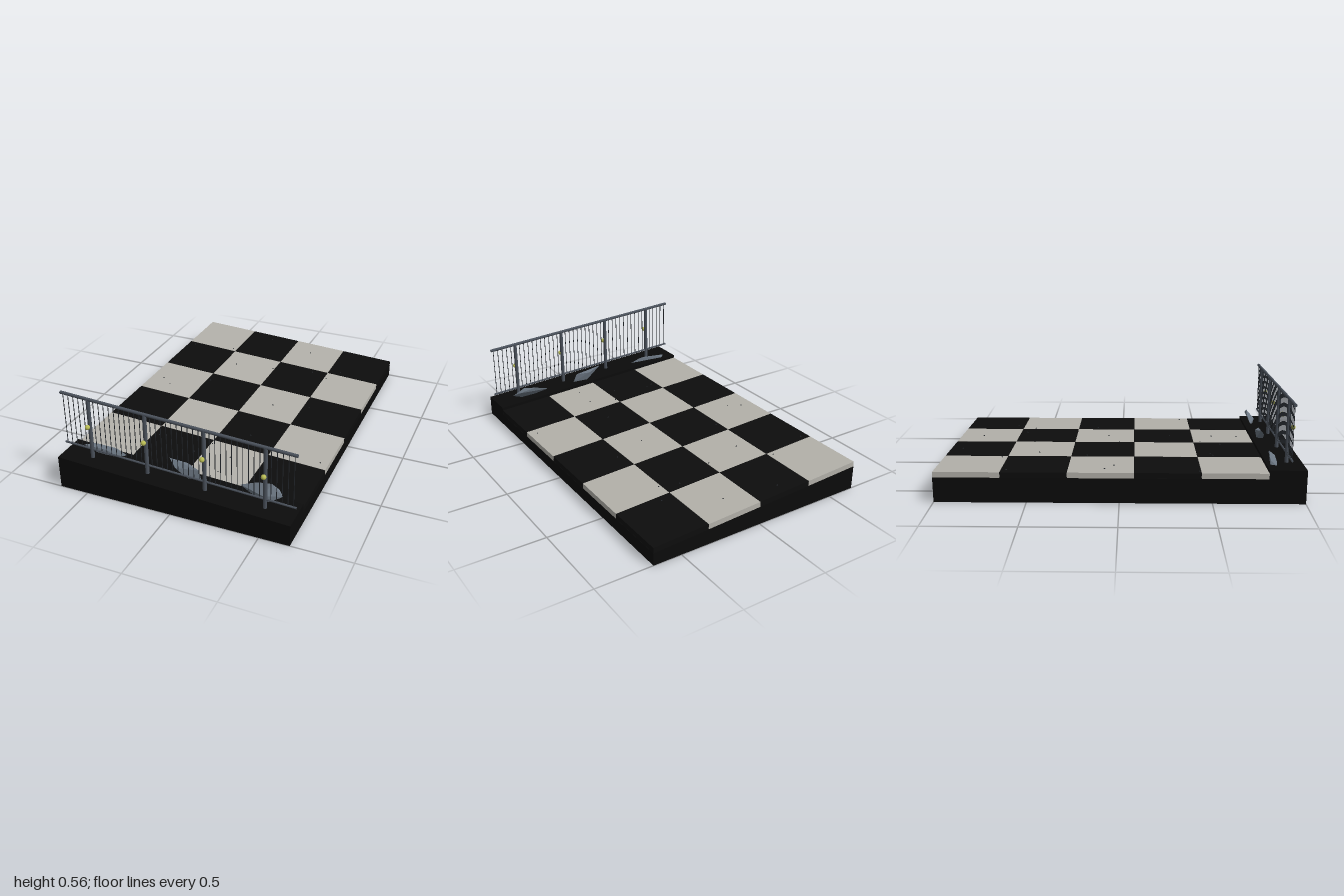
import * as THREE from 'three';
import { ConvexGeometry } from 'three/addons/geometries/ConvexGeometry.js';

const HALF_W = 0.667, SLOPE = 0.051, RAIL_Z = 0.915;
const drop = (x) => -SLOPE * x; // everything falls gently towards +x

function mat(name, color, flatShading = false) {
  const m = new THREE.MeshStandardMaterial({ color, flatShading });
  m.name = name;
  return m;
}

export function createModel() {
  const model = new THREE.Group();
  model.name = 'tiledTerrace';
  const black = mat('baseBlack', 0x0b0b0b);
  const darkTile = mat('darkTile', 0x0d0d0d);
  const lightTile = mat('lightTile', 0xb3b1aa);
  const steel = mat('railSteel', 0x4a515b);
  const darkSteel = mat('barSteel', 0x24282d);
  const lampYellow = mat('lampYellow', 0xb9bc55);
  const stone = mat('shardStone', 0x6b7682, true);

  const add = (parent, name, geometry, material) => {
    const mesh = new THREE.Mesh(geometry, material);
    mesh.name = name;
    parent.add(mesh);
    return mesh;
  };
  const group = (name) => {
    const g = new THREE.Group();
    g.name = name;
    model.add(g);
    return g;
  };

  // Box between two corners, with its top (and optionally bottom) following the slope
  function slopedBox(x0, x1, y0, y1, z0, z1, flatBottom) {
    const g = new THREE.BoxGeometry(x1 - x0, y1 - y0, z1 - z0);
    g.translate((x0 + x1) / 2, (y0 + y1) / 2, (z0 + z1) / 2);
    const p = g.attributes.position;
    for (let i = 0; i < p.count; i++) {
      if (flatBottom && p.getY(i) < y0 + 1e-4) continue;
      p.setY(i, p.getY(i) + drop(p.getX(i)));
    }
    g.computeVertexNormals();
    return g;
  }

  // Round bar between two points
  function rod(parent, name, a, b, radius, sides, material) {
    const dir = b.clone().sub(a);
    const mesh = add(parent, name, new THREE.CylinderGeometry(radius, radius, dir.length(), sides), material);
    mesh.position.copy(a).lerp(b, 0.5);
    mesh.quaternion.setFromUnitVectors(new THREE.Vector3(0, 1, 0), dir.normalize());
  }
  const at = (x, y) => new THREE.Vector3(x, y + drop(x), RAIL_Z);

  // Slab and raised front kerb
  add(model, 'slab', slopedBox(-HALF_W, HALF_W, 0, 0.106, -1, 0.8, true), black);
  add(model, 'kerb', slopedBox(-HALF_W, HALF_W, 0, 0.155, 0.8, 1, true), black);

  // Checkered tiles, 4 columns by 5 rows
  const tiles = group('tiles');
  const tw = HALF_W / 2, td = 0.36, gap = 0.001;
  for (let r = 0; r < 5; r++) {
    for (let c = 0; c < 4; c++) {
      const x = -HALF_W + c * tw, z = -1 + r * td;
      const light = (r + c) % 2 === 0;
      add(tiles, light ? 'lightTile' : 'darkTile',
        slopedBox(x + gap, x + tw - gap, 0.105, 0.137, z + gap, z + td - gap, false),
        light ? lightTile : darkTile);
    }
  }

  // Scattered grit
  const grit = group('grit');
  const gritGeo = new THREE.OctahedronGeometry(0.005);
  [[-0.17, -0.93], [0.14, -0.86], [-0.36, -0.67], [0.41, -0.68], [-0.62, -0.61], [0.24, -0.6],
    [0.35, -0.56], [-0.01, -0.525], [-0.25, -0.47], [-0.31, -0.19], [0.37, -0.155], [-0.59, -0.08],
    [0.16, -0.08], [-0.52, -0.03], [0.0, -0.01], [0.17, 0.3], [0.62, 0.385], [-0.63, 0.43],
    [0.01, 0.48], [-0.3, 0.53], [-0.26, 0.52], [0.155, 0.56], [-0.05, 0.595], [0.15, 0.715],
  ].forEach(([x, z]) => {
    add(grit, 'gritGrain', gritGeo, darkSteel).position.set(x, 0.138 + drop(x), z);
  });

  // Railing: two rails, thin bars, four posts with lamps
  const railing = group('railing');
  rod(railing, 'topRail', at(-HALF_W, 0.512), at(HALF_W, 0.512), 0.009, 12, steel);
  rod(railing, 'bottomRail', at(-HALF_W, 0.207), at(HALF_W, 0.207), 0.006, 10, steel);
  const bars = 44;
  for (let i = 0; i < bars; i++) {
    const x = -HALF_W + (i + 0.5) * 2 * HALF_W / bars;
    rod(railing, 'railBar', at(x, 0.207), at(x, 0.512), 0.002, 6, darkSteel);
  }
  const lampGeo = new THREE.SphereGeometry(0.014, 16, 12);
  for (let i = 0; i < 4; i++) {
    const x = -HALF_W + (i + 0.5) * tw;
    rod(railing, 'railPost', at(x, 0.14), at(x, 0.512), 0.011, 12, steel);
    add(railing, 'postLamp', lampGeo, lampYellow).position.set(x, 0.355 + drop(x), 0.94);
  }

  // Angular stone shards on the kerb
  const shards = group('shards');
  [
    [[-0.6, 0.195, 0.845], [-0.54, 0.205, 0.82], [-0.4, 0.215, 0.835], [-0.33, 0.19, 0.842],
      [-0.38, 0.178, 0.862], [-0.5, 0.178, 0.865], [-0.57, 0.19, 0.815], [-0.45, 0.205, 0.858]],
    [[-0.075, 0.235, 0.835], [0.02, 0.212, 0.812], [0.1, 0.205, 0.845], [0.12, 0.15, 0.855],
      [0.04, 0.155, 0.865], [-0.03, 0.198, 0.862], [0.03, 0.16, 0.825]],
    [[0.325, 0.165, 0.825], [0.42, 0.198, 0.815], [0.5, 0.212, 0.82], [0.57, 0.165, 0.842],
      [0.5, 0.13, 0.866], [0.41, 0.14, 0.85], [0.54, 0.185, 0.815], [0.47, 0.16, 0.868]],
  ].forEach((pts) => {
    add(shards, 'stoneShard', new ConvexGeometry(pts.map((p) => new THREE.Vector3(...p))), stone);
  });

  return model;
}
